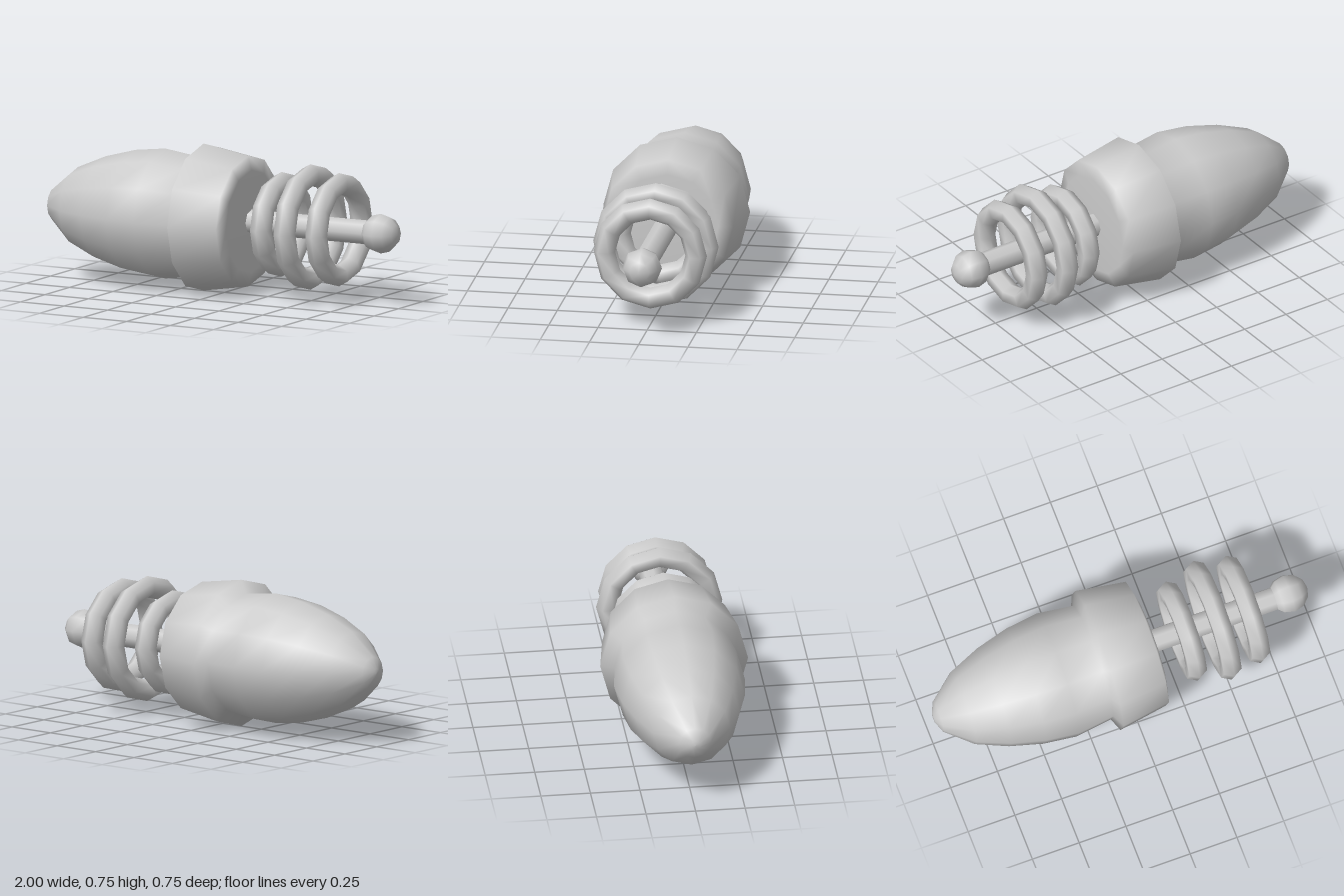
import * as THREE from 'three';

export function createModel() {
  const model = new THREE.Group();
  model.name = 'ringedCapsule';
  const material = new THREE.MeshStandardMaterial({ color: 0xcccccc });
  const axisY = 0.373;

  // Every part is turned about one horizontal axis running along x
  const add = (name, geometry, x = 0) => {
    const mesh = new THREE.Mesh(geometry, material);
    mesh.name = name;
    mesh.position.set(x, axisY, 0);
    model.add(mesh);
  };

  // Bullet-shaped body with a flared collar: [radius, x]
  const profile = [
    [0, -1], [0.025, -0.998], [0.082, -0.973], [0.195, -0.84], [0.263, -0.68],
    [0.309, -0.51], [0.33, -0.34], [0.305, -0.15], [0.373, -0.12],
    [0.332, 0.137], [0.26, 0.155], [0, 0.155],
  ].map(([r, x]) => new THREE.Vector2(r, x));
  add('body', new THREE.LatheGeometry(profile, 12).rotateZ(-Math.PI / 2));

  // Rod and its end knob
  add('rod', new THREE.CylinderGeometry(0.061, 0.061, 0.75, 8).rotateZ(-Math.PI / 2), 0.505);
  add('knob', new THREE.SphereGeometry(0.101, 8, 6).rotateZ(-Math.PI / 2), 0.898);

  // Floating rings: [x, outer radius]
  const tube = 0.055;
  [[0.328, 0.266], [0.493, 0.319], [0.658, 0.288]].forEach(([x, outer], i) => {
    add(`ring${i + 1}`, new THREE.TorusGeometry(outer - tube, tube, 6, 12).rotateY(Math.PI / 2), x);
  });

  return model;
}
